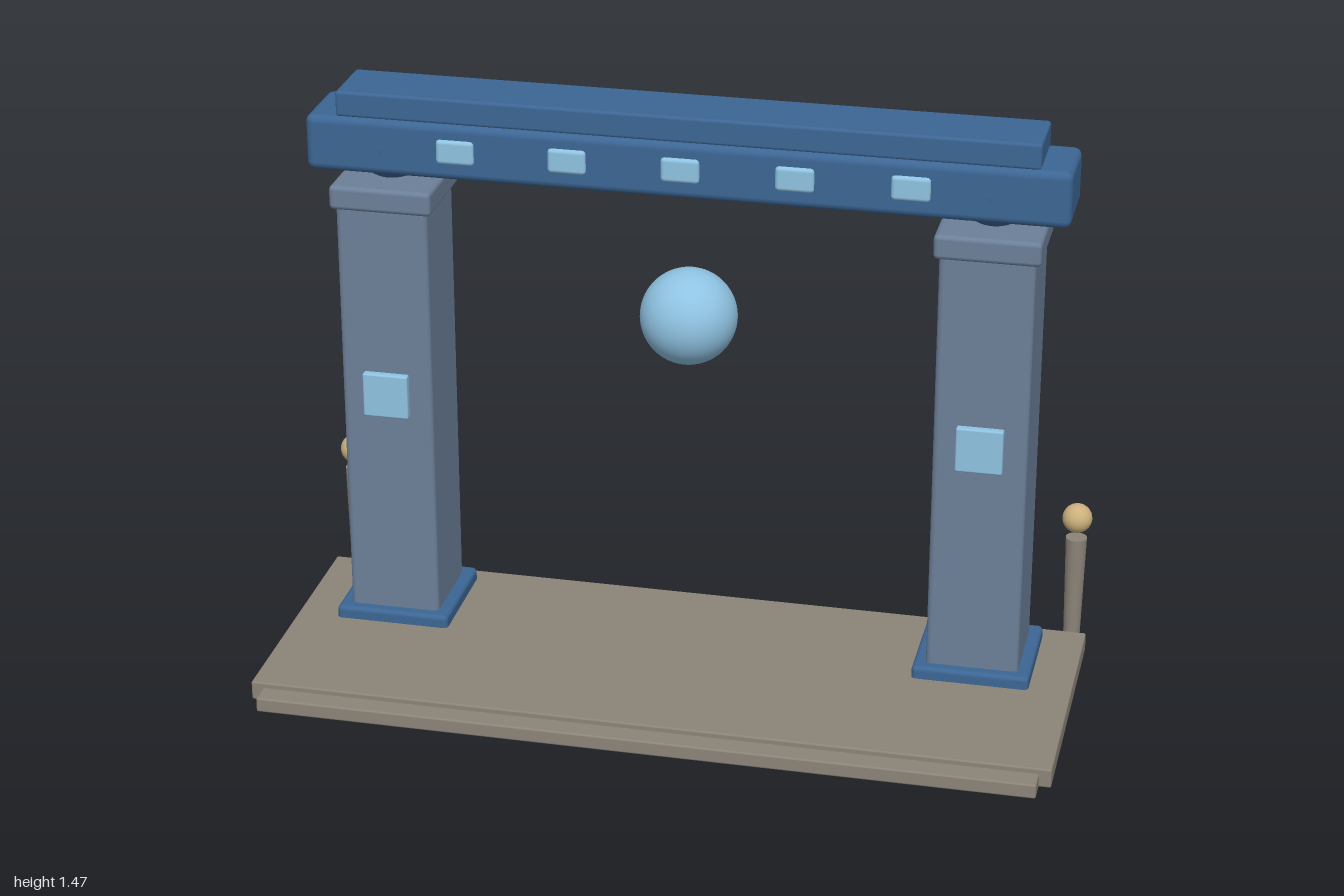
import * as THREE from 'three';
import { RoundedBoxGeometry } from 'three/addons/geometries/RoundedBoxGeometry.js';

const paint = (color) => new THREE.MeshStandardMaterial({ color });

export function createModel() {
  const model = new THREE.Group();
  const stone = paint(0x8b8478);
  const pillarGrey = paint(0x6c8099);
  const darkBlue = paint(0x3c6694);
  const paleBlue = paint(0x8fc3e2);
  const gold = paint(0xccb07c);

  const add = (name, geometry, material, x, y, z, parent = model) => {
    const mesh = new THREE.Mesh(geometry, material);
    mesh.name = name;
    mesh.position.set(x, y, z);
    parent.add(mesh);
    return mesh;
  };
  // Box with softened edges, given by its size, bottom height and centre
  const block = (name, material, w, h, d, x, bottom, z, r, parent) =>
    add(name, new RoundedBoxGeometry(w, h, d, 2, r), material, x, bottom + h / 2, z, parent);

  const gateZ = -0.148;

  // Floor slab with a low front step
  block('platform', stone, 2, 0.05, 0.71, 0, 0.01, 0.02, 0.005);
  block('frontStep', stone, 1.94, 0.038, 0.12, 0, 0.008, 0.37, 0.005);

  for (const side of [-1, 1]) {
    // Pillar with its plinth, capital, bearing ball and front plaque
    const pillar = new THREE.Group();
    pillar.name = side > 0 ? 'leftPillar' : 'rightPillar';
    pillar.position.set(side * 0.747, 0, gateZ);
    model.add(pillar);
    block('shaft', pillarGrey, 0.232, 1.14, 0.236, 0, 0.05, 0, 0.014, pillar);
    block('plinth', darkBlue, 0.294, 0.07, 0.294, 0, 0.022, 0, 0.012, pillar);
    add('footing', new THREE.BoxGeometry(0.18, 0.03, 0.08), darkBlue, 0, 0.015, 0.07, pillar);
    block('capital', pillarGrey, 0.258, 0.062, 0.258, 0, 1.179, 0, 0.012, pillar);
    add('bearingBall', new THREE.SphereGeometry(0.103, 32, 20), darkBlue, 0, 1.336, 0, pillar);
    block('plaque', paleBlue, 0.116, 0.116, 0.03, 0, 0.634, 0.121, 0.005, pillar);

    // Bollard behind the platform, narrowing downwards
    const bollard = new THREE.Group();
    bollard.name = side > 0 ? 'leftBollard' : 'rightBollard';
    bollard.position.set(side * 0.957, 0, -0.394);
    model.add(bollard);
    add('post', new THREE.CylinderGeometry(0.027, 0.021, 0.29, 24), stone, 0, 0.155, 0, bollard);
    add('finial', new THREE.SphereGeometry(0.038, 24, 16), gold, 0, 0.354, 0, bollard);
  }

  // Crossbeam with a top rail
  block('beam', darkBlue, 1.876, 0.142, 0.2, 0, 1.269, -0.146, 0.02);
  block('topRail', darkBlue, 1.724, 0.065, 0.175, 0, 1.408, -0.147, 0.008);

  // Panels running through the beam, showing front and back
  for (let i = -2; i <= 2; i++) {
    block('beamPanel', paleBlue, 0.095, 0.062, 0.22, i * 0.279, 1.313, -0.147, 0.01);
  }

  // Orb floating in the opening
  add('orb', new THREE.SphereGeometry(0.121, 48, 32), paleBlue, 0, 0.925, gateZ);

  return model;
}
